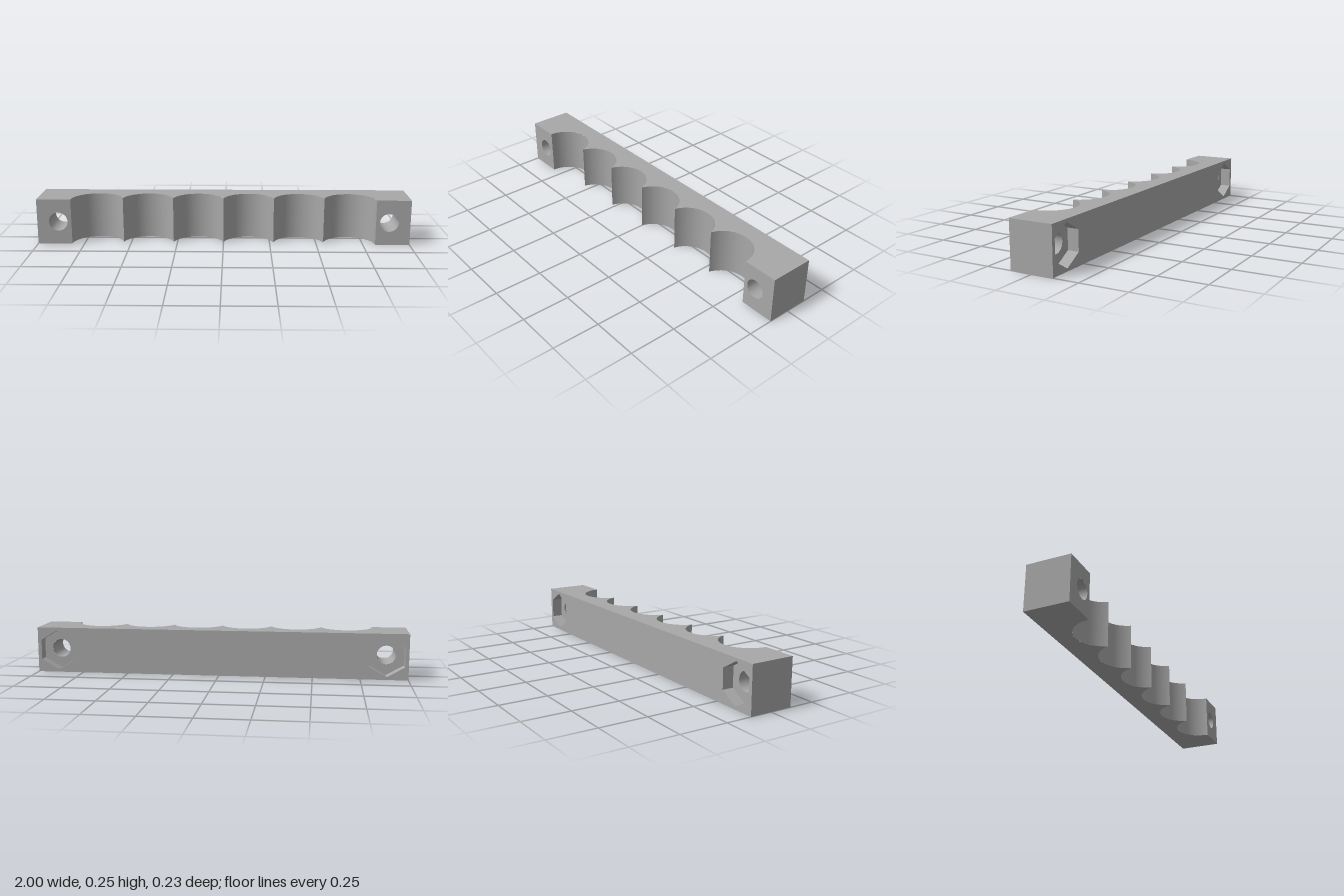
import * as THREE from 'three';

const H = 0.245, MID = H / 2, B = 0.1165;        // bar height, mid height, half depth
const COUNT = 6, PITCH = 0.2705, R = 0.14;       // scallops
const HOLE_X = 0.887, HOLE_R = 0.05;             // screw bores
const HEX_R = 0.108, HEX_DEPTH = 0.06;           // nut pockets
const CUSP = Math.acos(PITCH / 2 / R);           // angle at which neighbouring arcs meet
const END = PITCH * (COUNT - 1) / 2 + R;         // where the scallops reach the front face
const centre = (i) => (i - (COUNT - 1) / 2) * PITCH;

// Outline of the bar seen along y; s sets the sign of z in the shape
function plan(s) {
  const shape = new THREE.Shape();
  shape.moveTo(-1, -s * B).lineTo(-1, s * B).lineTo(-END, s * B);
  for (let i = 0; i < COUNT; i++) {
    const from = i === 0 ? Math.PI : Math.PI - CUSP;
    const to = i === COUNT - 1 ? 0 : CUSP;
    shape.absarc(centre(i), s * B, R, -s * from, -s * to, s < 0);
  }
  return shape.lineTo(1, s * B).lineTo(1, -s * B);
}

function rect(x0, x1) {
  return new THREE.Shape([[x0, 0], [x1, 0], [x1, H], [x0, H]].map(([x, y]) => new THREE.Vector2(x, y)));
}

function hexPoints(x, y) {
  return Array.from({ length: 6 }, (_, k) => {
    const a = Math.PI / 6 + k * Math.PI / 3;
    return new THREE.Vector2(x + HEX_R * Math.cos(a), y + HEX_R * Math.sin(a));
  });
}

const roundHole = (x, y) => new THREE.Path().absarc(x, y, HOLE_R, 0, Math.PI * 2, true);

// Cylinder wall from a to b along y that faces its own axis
function innerWall(radius, a, b, segments, start = 0, length = Math.PI * 2) {
  const points = [new THREE.Vector2(radius, b), new THREE.Vector2(radius, a)];
  return new THREE.LatheGeometry(points, segments, start, length);
}

export function createModel() {
  const group = new THREE.Group();
  const grey = new THREE.MeshStandardMaterial({ color: 0xa8a8a8 });
  grey.name = 'grey';
  const add = (name, geometry, x = 0, y = 0, z = 0) => {
    const mesh = new THREE.Mesh(geometry, grey);
    mesh.name = name;
    mesh.position.set(x, y, z);
    group.add(mesh);
  };

  // Top and bottom with the scalloped edge
  add('topFace', new THREE.ShapeGeometry(plan(-1), 24).rotateX(-Math.PI / 2), 0, H);
  add('bottomFace', new THREE.ShapeGeometry(plan(1), 24).rotateX(Math.PI / 2));

  // Scallop walls
  for (let i = 0; i < COUNT; i++) {
    const from = i === COUNT - 1 ? Math.PI / 2 : Math.PI / 2 + CUSP;
    const to = i === 0 ? Math.PI * 1.5 : Math.PI * 1.5 - CUSP;
    add('scallop', innerWall(R, 0, H, 24, from, to - from), centre(i), 0, B);
  }

  // Back with hexagonal openings
  const back = rect(-1, 1);
  for (const s of [-1, 1]) back.holes.push(new THREE.Path(hexPoints(s * HOLE_X, MID)));
  add('backFace', new THREE.ShapeGeometry(back).rotateY(Math.PI), 0, 0, -B);

  for (const s of [-1, 1]) {
    // End wall and drilled front pad
    add('endFace', new THREE.PlaneGeometry(2 * B, H).rotateY(s * Math.PI / 2), s, MID);
    const pad = s > 0 ? rect(END, 1) : rect(-1, -END);
    pad.holes.push(roundHole(s * HOLE_X, MID));
    add('frontPad', new THREE.ShapeGeometry(pad, 32), 0, 0, B);

    // Nut pocket: six flat walls and a drilled floor
    const walls = innerWall(HEX_R, -B, -B + HEX_DEPTH, 6).toNonIndexed();
    walls.computeVertexNormals();
    add('nutPocketWalls', walls.rotateX(Math.PI / 2), s * HOLE_X, MID);
    const floor = new THREE.Shape(hexPoints(0, 0));
    floor.holes.push(roundHole(0, 0));
    add('nutPocketFloor', new THREE.ShapeGeometry(floor, 32).rotateY(Math.PI), s * HOLE_X, MID, -B + HEX_DEPTH);

    // Screw bore through to the front
    add('screwBore', innerWall(HOLE_R, -B + HEX_DEPTH, B, 32).rotateX(Math.PI / 2), s * HOLE_X, MID);
  }
  return group;
}
